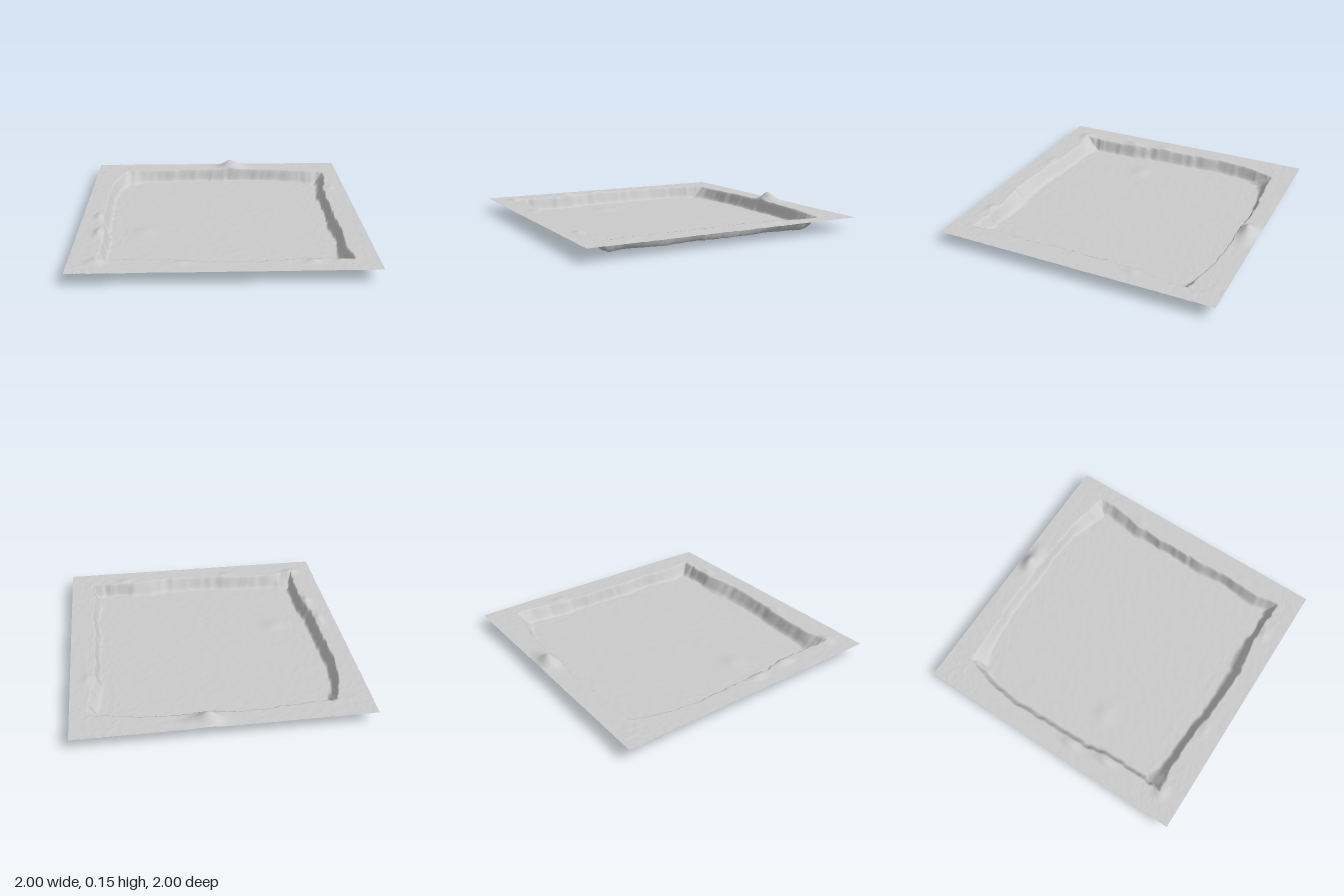
import * as THREE from 'three';

const GROUND = 0.094, FLOOR = 0.005;

// Wall lines as [position along the side, foot distance, rim distance] from the centre
const sides = {
  left: [[-1, 0.6, 0.66], [-0.85, 0.68, 0.76], [-0.75, 0.735, 0.795], [-0.6, 0.79, 0.835], [-0.4, 0.815, 0.865],
    [0, 0.8, 0.85], [0.2, 0.8, 0.85], [0.4, 0.765, 0.81], [0.6, 0.77, 0.815], [0.75, 0.77, 0.82], [1, 0.77, 0.84]],
  right: [[-1, 0.72, 0.84], [-0.8, 0.76, 0.88], [-0.65, 0.815, 0.88], [-0.55, 0.79, 0.86], [-0.4, 0.775, 0.83],
    [-0.2, 0.79, 0.82], [0, 0.79, 0.825], [0.2, 0.775, 0.825], [0.4, 0.8, 0.835], [0.65, 0.76, 0.82], [0.8, 0.79, 0.84], [1, 0.79, 0.84]],
  back: [[-1, 0.5, 0.82], [-0.78, 0.62, 0.84], [-0.72, 0.73, 0.84], [-0.6, 0.78, 0.84], [-0.4, 0.81, 0.85], [-0.2, 0.82, 0.865],
    [0, 0.815, 0.855], [0.3, 0.825, 0.85], [0.5, 0.805, 0.84], [0.65, 0.75, 0.82], [0.8, 0.69, 0.79], [1, 0.65, 0.77]],
  front: [[-1, 0.7, 0.84], [-0.75, 0.7, 0.83], [-0.65, 0.74, 0.81], [-0.4, 0.76, 0.82], [-0.1, 0.785, 0.85],
    [0.2, 0.785, 0.87], [0.35, 0.75, 0.85], [0.48, 0.765, 0.83], [0.6, 0.79, 0.83], [0.8, 0.77, 0.84], [1, 0.75, 0.84]],
};

// Mounds as [x, z, height, width in x, width in z]
const mounds = [
  [0.11, -0.92, 0.062, 0.07, 0.055], [0.22, -0.93, 0.012, 0.06, 0.05],
  [-0.82, 0.84, 0.018, 0.05, 0.04], [-0.85, 0.39, 0.02, 0.03, 0.06],
  [-0.88, 0.12, 0.015, 0.03, 0.06], [0.57, 0.87, 0.013, 0.04, 0.03],
  [0.88, -0.4, 0.009, 0.03, 0.04], [-0.28, 0.87, 0.009, 0.05, 0.03],
  [-0.55, 0.2, 0.012, 0.07, 0.07],
];

function lookUp(table, s) {
  let i = 0;
  while (i < table.length - 2 && s > table[i + 1][0]) i++;
  const [a, b] = [table[i], table[i + 1]];
  const t = THREE.MathUtils.smoothstep(s, a[0], b[0]);
  return [a[1] + (b[1] - a[1]) * t, a[2] + (b[2] - a[2]) * t];
}

// Seeded lattice noise in the range -1 to 1
function hash(i, j) {
  const n = Math.sin(i * 127.1 + j * 311.7 + 17) * 43758.5453;
  return (n - Math.floor(n)) * 2 - 1;
}
function noise(x, z) {
  const i = Math.floor(x), j = Math.floor(z);
  const u = THREE.MathUtils.smoothstep(x - i, 0, 1), v = THREE.MathUtils.smoothstep(z - j, 0, 1);
  const { lerp } = THREE.MathUtils;
  return lerp(lerp(hash(i, j), hash(i + 1, j), u), lerp(hash(i, j + 1), hash(i + 1, j + 1), u), v);
}

// 0 outside the rim, 1 inside the foot, for one wall
function sink(table, along, distance) {
  const [foot, rim] = lookUp(table, along);
  const ragged = 0.007 * noise(along * 22, table.length * 7) + 0.004 * noise(along * 50, table.length * 3);
  return THREE.MathUtils.clamp((rim + ragged - distance) / (rim - foot), 0, 1);
}

function heightAt(x, z) {
  const t = Math.min(
    sink(sides.left, z, -x), sink(sides.right, z, x),
    sink(sides.back, x, -z), sink(sides.front, x, z));
  // Steep wall, easing out at the foot
  const drop = t < 0.6 ? t * 1.3 : 0.78 + 0.22 * Math.sin((t - 0.6) / 0.4 * Math.PI / 2);
  let y = GROUND + (FLOOR - GROUND) * drop;
  for (const [mx, mz, h, wx, wz] of mounds) {
    y += h * Math.exp(-(((x - mx) / wx) ** 2) - ((z - mz) / wz) ** 2);
  }
  y += 0.001 * noise(x * 30, z * 30) + 0.0008 * noise(x * 70, z * 70);
  return Math.max(0, y);
}

// Packs the grid lines closer together around the walls
function warp(u) {
  const a = Math.abs(u);
  const w = a < 0.4 ? a / 0.4 * 0.66 : a < 0.9 ? 0.66 + (a - 0.4) / 0.5 * 0.26 : 0.92 + (a - 0.9) / 0.1 * 0.08;
  return Math.sign(u) * w;
}

export function createModel() {
  const model = new THREE.Group();
  model.name = 'sunkenGround';

  // One sheet of ground with a square basin pressed into it
  const geometry = new THREE.PlaneGeometry(2, 2, 160, 160).rotateX(-Math.PI / 2);
  const p = geometry.attributes.position;
  for (let i = 0; i < p.count; i++) {
    const x = warp(p.getX(i)), z = warp(p.getZ(i));
    p.setXYZ(i, x, heightAt(x, z), z);
  }
  geometry.computeVertexNormals();

  const material = new THREE.MeshStandardMaterial({ color: 0xcccccc, side: THREE.DoubleSide });
  const terrain = new THREE.Mesh(geometry, material);
  terrain.name = 'terrainWithBasin';
  model.add(terrain);
  return model;
}
